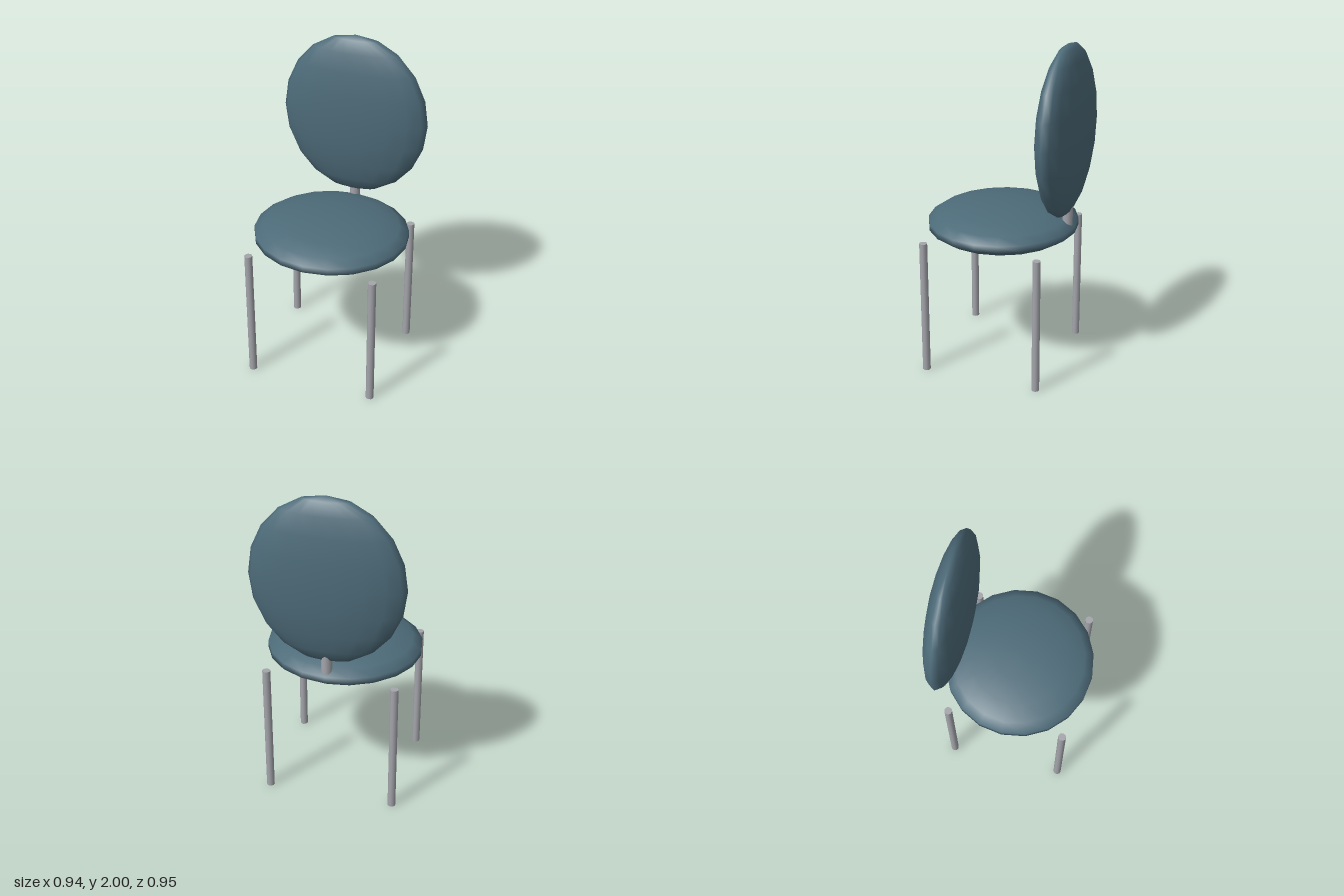
import * as THREE from 'three';

const upholstery = new THREE.MeshStandardMaterial({ name: 'slate blue upholstery', color: 0x4d6b79 });
const metal = new THREE.MeshStandardMaterial({ name: 'grey metal', color: 0xa4a5ab });

// Ellipsoid cushion given radii, centre and segment counts
function cushion(name, radii, centre, around, rings) {
  const geometry = new THREE.SphereGeometry(1, around, rings).scale(...radii);
  const mesh = new THREE.Mesh(geometry, upholstery);
  mesh.name = name;
  mesh.position.set(...centre);
  return mesh;
}

// Vertical round bar between two heights
function bar(name, radius, x, z, bottom, top) {
  const mesh = new THREE.Mesh(new THREE.CylinderGeometry(radius, radius, top - bottom, 10), metal);
  mesh.name = name;
  mesh.position.set(x, (bottom + top) / 2, z);
  return mesh;
}

export function createModel() {
  const chair = new THREE.Group();
  chair.name = 'chair';

  // Padded seat and backrest
  chair.add(cushion('seat', [0.475, 0.113, 0.457], [0, 0.888, 0.023], 20, 9));
  chair.add(cushion('backrest', [0.457, 0.508, 0.114], [0, 1.492, -0.366], 18, 10));

  // Post joining the backrest to the seat
  chair.add(bar('backrestPost', 0.032, 0, -0.381, 0.885, 1.1));

  // Four straight legs
  for (const [side, x] of [['Left', 0.388], ['Right', -0.388]]) {
    chair.add(bar(`front${side}Leg`, 0.024, x, 0.377, 0, 0.832));
    chair.add(bar(`back${side}Leg`, 0.024, x, -0.328, 0, 0.832));
  }
  return chair;
}
